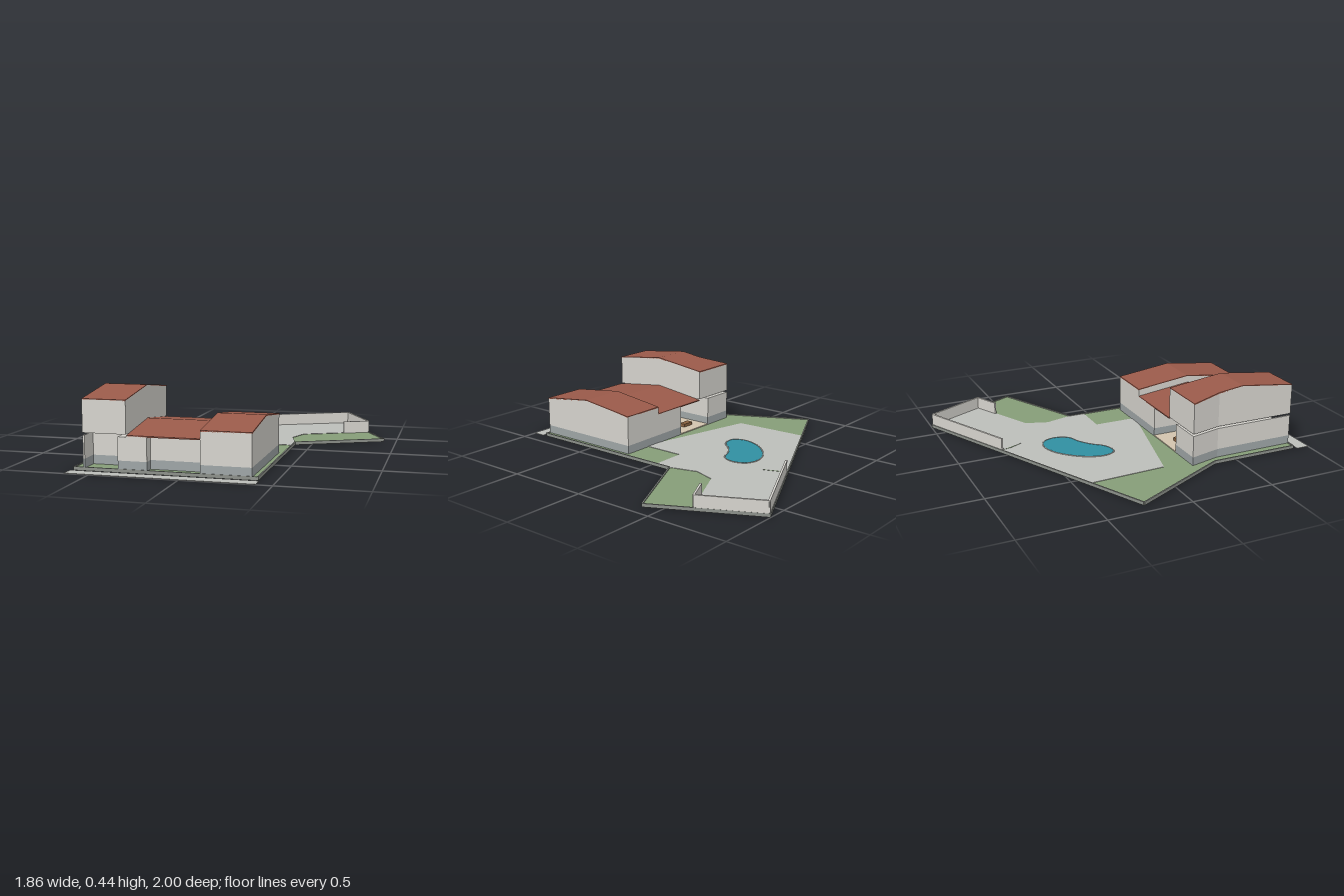
import * as THREE from 'three';

const mat = (color, extra = {}) => new THREE.MeshStandardMaterial({ color, ...extra });
const M = {
  wall: mat(0xd6d4ce), plinth: mat(0x9ea5a6), roof: mat(0x9a5a4a), grass: mat(0x869d78),
  paving: mat(0xbcbeba), curb: mat(0x8c908a), water: mat(0x318fa1), patio: mat(0xd2c4ae), wood: mat(0x8a6240),
};

export function createModel() {
  const model = new THREE.Group();

  const add = (name, geometry, material, parent = model) => {
    const mesh = new THREE.Mesh(geometry, material);
    mesh.name = name;
    parent.add(mesh);
    return mesh;
  };
  const group = (name) => {
    const g = new THREE.Group();
    g.name = name;
    model.add(g);
    return g;
  };

  // Upright prism over an [x, z] footprint; bottom and top are heights or functions of z
  const prism = (points, bottom, top) => {
    const shape = new THREE.Shape(points.map(([x, z]) => new THREE.Vector2(x, -z)));
    const geo = new THREE.ExtrudeGeometry(shape, { depth: 1, bevelEnabled: false });
    geo.rotateX(-Math.PI / 2);
    const p = geo.attributes.position;
    const at = (h, z) => (typeof h === 'function' ? h(z) : h);
    for (let i = 0; i < p.count; i++) {
      p.setY(i, at(p.getY(i) > 0.5 ? top : bottom, p.getZ(i)));
    }
    geo.computeVertexNormals();
    return geo;
  };
  const rect = (x0, x1, z0, z1) => [[x0, z0], [x1, z0], [x1, z1], [x0, z1]];

  // Thin straight wall between two ground points
  const wallRun = (name, [x0, z0], [x1, z1], h, t, material, parent) => {
    const len = Math.hypot(x1 - x0, z1 - z0);
    const mesh = add(name, new THREE.BoxGeometry(len, h, t), material, parent);
    mesh.position.set((x0 + x1) / 2, h / 2, (z0 + z1) / 2);
    mesh.rotation.y = -Math.atan2(z1 - z0, x1 - x0);
  };

  // Plot, perimeter curb and sidewalk
  const plot = [[-0.927, -0.255], [0.62, -0.995], [0.923, -0.393], [0.4, -0.14],
    [0.4, 0.9], [-0.623, 0.9], [-0.623, 0.355]];
  add('lawn', prism(plot, 0, 0.014), M.grass);
  const curbs = group('perimeterCurb');
  plot.forEach((p, i) => wallRun('curb', p, plot[(i + 1) % plot.length], 0.02, 0.008, M.curb, curbs));
  add('sidewalk', prism(rect(-0.64, 0.412, 0.92, 1), 0, 0.003), M.paving);

  // Paved yard with a small planted sliver
  add('pavedYard', prism([[-0.59, -0.412], [0.62, -0.99], [0.8, -0.635], [0.4, -0.445], [0.355, -0.31],
    [0.4, -0.14], [0.4, -0.04], [0.188, -0.04], [0.188, 0.21], [0.09, 0.21], [-0.568, 0.05]],
  0.01, 0.0165), M.paving);
  add('plantedSliver', prism([[0.05, -0.715], [0.1, -0.58], [0.062, -0.66]], 0.012, 0.018), M.grass);

  // Curved pool with a pale coping
  const pool = new THREE.CatmullRomCurve3([[-0.25, -0.12], [-0.28, -0.19], [-0.26, -0.28], [-0.2, -0.37],
    [-0.1, -0.45], [0, -0.472], [0.07, -0.44], [0.093, -0.36], [0.06, -0.285], [-0.02, -0.25],
    [-0.09, -0.2], [-0.15, -0.135], [-0.2, -0.115]].map(([x, z]) => new THREE.Vector3(x, 0.017, z)), true);
  add('poolWater', prism(pool.getPoints(64).slice(0, -1).map((v) => [v.x, v.z]), 0.012, 0.0185), M.water);
  add('poolCoping', new THREE.TubeGeometry(pool, 80, 0.004, 6, true), M.paving);

  // Tall screen walls round the far corner of the yard
  const screen = [[0.05, -0.715], [0.62, -0.988], [0.797, -0.637], [0.645, -0.565]];
  const screens = group('screenWalls');
  for (let i = 0; i < 3; i++) wallRun('screenWall', screen[i], screen[i + 1], 0.09, 0.012, M.wall, screens);

  // House: gables share one ridge line, each with its own eave height
  const RIDGE = 0.555;
  const slope = (eave) => (z) => eave + 0.043 * (1 - Math.abs(z - RIDGE) / 0.345);
  const lift = (fn, d) => (z) => fn(z) + d;
  const house = group('house');
  const storey = (name, footprint, top, base = 0.014) => {
    add(name + 'Plinth', prism(footprint, base, 0.065), M.plinth, house);
    add(name + 'Walls', prism(footprint, 0.065, top), M.wall, house);
  };
  const roof = (name, footprint, eave) =>
    add(name, prism(footprint, lift(slope(eave), -0.003), lift(slope(eave), 0.004)), M.roof, house);

  // Tall wing: ground floor with carport and patio recesses, upper floor above a shadow gap
  storey('tallWingGround', [[-0.57, 0.9], [-0.56, 0.9], [-0.56, 0.78], [-0.37, 0.78], [-0.37, 0.9],
    [-0.32, 0.9], [-0.32, 0.45], [-0.41, 0.45], [-0.41, 0.21], [-0.62, 0.21], [-0.572, 0.4]], 0.195);
  const tallFront = rect(-0.572, -0.322, RIDGE, 0.9);
  const tallBack = [[-0.572, RIDGE], [-0.322, RIDGE], [-0.322, 0.21], [-0.62, 0.21], [-0.572, 0.4]];
  for (const half of [tallFront, tallBack]) {
    add('tallWingUpperWalls', prism(half, 0.208, slope(0.39)), M.wall, house);
    roof('tallWingRoof', half, 0.39);
  }

  // Middle wing: recessed entrance in front, open patio behind
  storey('middleWingFront', [[-0.32, 0.9], [-0.205, 0.9], [-0.205, 0.84], [0.09, 0.84],
    [0.09, RIDGE], [-0.32, RIDGE]], slope(0.2));
  storey('middleWingBack', [[-0.32, RIDGE], [0.09, RIDGE], [0.09, 0.21], [-0.13, 0.21],
    [-0.13, 0.45], [-0.32, 0.45]], slope(0.2));

  // Right wing, and the plain roofs of both lower wings
  for (const [z0, z1] of [[0.21, RIDGE], [RIDGE, 0.9]]) {
    storey('rightWing', rect(0.09, 0.37, z0, z1), slope(0.245));
    roof('rightWingRoof', rect(0.09, 0.37, z0, z1), 0.245);
    roof('middleWingRoof', rect(-0.32, 0.09, z0, z1), 0.2);
  }

  // Patio floor and bench in the rear recess
  add('patioFloor', prism(rect(-0.41, -0.13, 0.21, 0.45), 0.012, 0.02), M.patio);
  add('patioBackWall', prism(rect(-0.41, -0.13, 0.445, 0.45), 0.02, 0.19), M.patio);
  add('patioBench', prism(rect(-0.33, -0.25, 0.28, 0.32), 0.02, 0.04), M.wood);

  return model;
}
